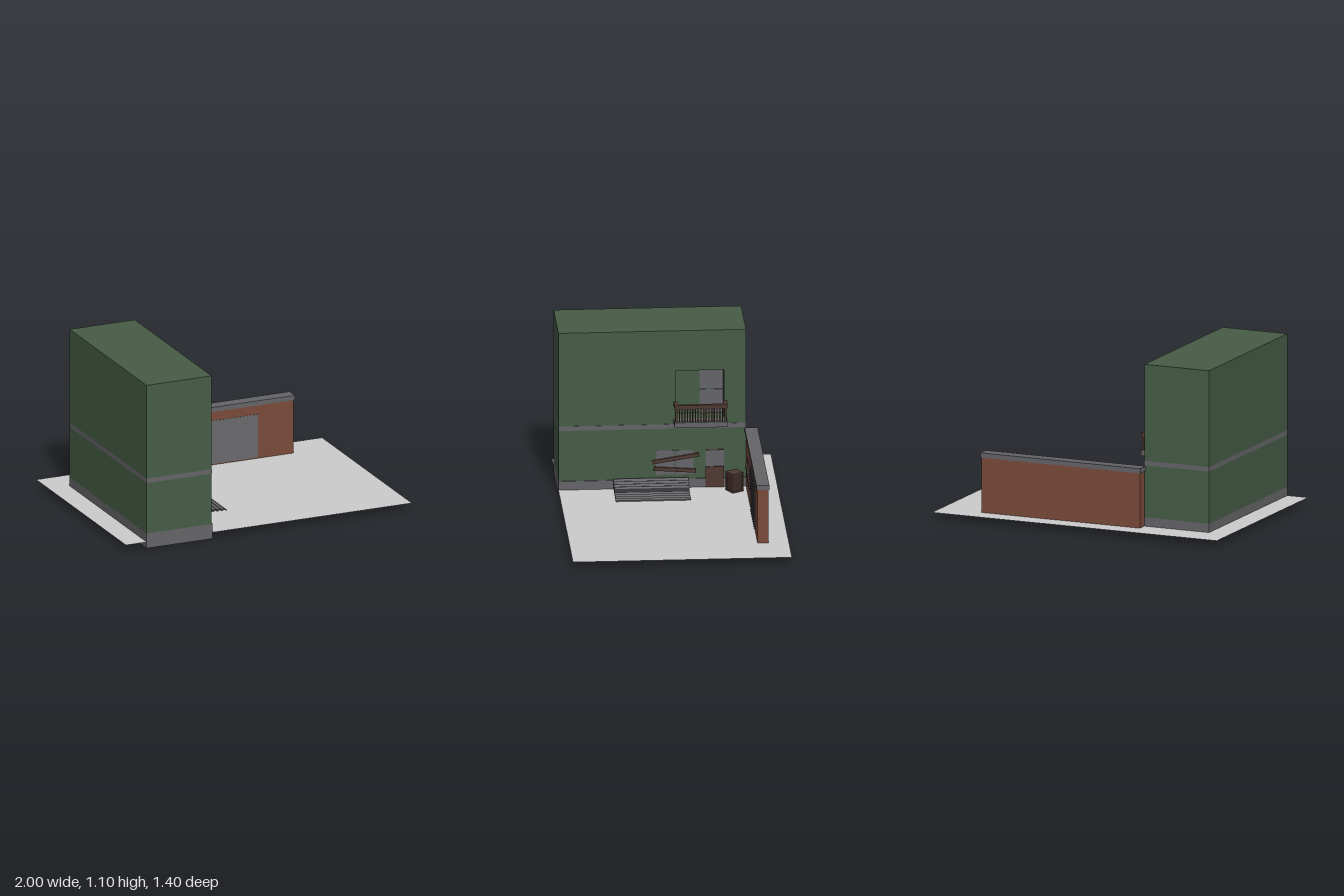
import * as THREE from 'three';

const mat = (name, color, side = THREE.FrontSide) => {
  const m = new THREE.MeshStandardMaterial({ color, side });
  m.name = name;
  return m;
};

export function createModel() {
  const green = mat('greenPlaster', 0x465c46);
  const gray = mat('grayConcrete', 0x656468);
  const brick = mat('redBrick', 0x7a4b3a);
  const wood = mat('brownWood', 0x503932);
  const darkWood = mat('darkWood', 0x3b2b27);
  const paving = mat('lightPaving', 0xcccccc, THREE.DoubleSide);

  const root = new THREE.Group();
  const group = (name, parent = root) => {
    const g = new THREE.Group();
    g.name = name;
    parent.add(g);
    return g;
  };
  // Box given by its limits on each axis
  const box = (name, parent, m, x0, x1, y0, y1, z0, z1) => {
    const mesh = new THREE.Mesh(new THREE.BoxGeometry(x1 - x0, y1 - y0, z1 - z0), m);
    mesh.position.set((x0 + x1) / 2, (y0 + y1) / 2, (z0 + z1) / 2);
    mesh.name = name;
    parent.add(mesh);
    return mesh;
  };

  // Ground sheet
  const ground = new THREE.Mesh(new THREE.PlaneGeometry(2, 1.4).rotateX(-Math.PI / 2), paving);
  ground.position.y = 0.042;
  ground.name = 'ground';
  root.add(ground);

  // House: plinth, lower storey, band, upper storey with a balcony recess
  const house = group('house');
  const L = -0.855, R = -0.4, B = -0.5, F = 0.7, back = -0.51;
  box('plinth', house, gray, L, R + 0.006, 0, 0.1, B, F);
  box('lowerStorey', house, green, L, R, 0.1, 0.44, B, F);
  box('band', house, gray, L, R + 0.002, 0.44, 0.47, B, F);
  box('upperStorey', house, green, L, back, 0.47, 1.1, B, F);
  const rect = (S, a, b, c, d) =>
    new S([[a, c], [b, c], [b, d], [a, d]].map((p) => new THREE.Vector2(...p)));
  const facade = rect(THREE.Shape, -F, -B, 0.47, 1.1);
  facade.holes.push(rect(THREE.Path, 0.05, 0.36, 0.505, 0.83));
  const front = new THREE.Mesh(
    new THREE.ExtrudeGeometry(facade, { depth: R - back, bevelEnabled: false }).rotateY(Math.PI / 2), green);
  front.position.x = back;
  front.name = 'upperFacade';
  house.add(front);
  for (const [y0, y1] of [[0.505, 0.664], [0.671, 0.83]])
    box('balconyDoorPane', house, gray, back, back + 0.006, y0, y1, -0.36, -0.21);

  // Entrance door and boarded ground floor window
  box('doorPanel', house, wood, R, R + 0.012, 0, 0.18, -0.36, -0.24);
  box('doorGlass', house, gray, R, R + 0.004, 0.18, 0.29, -0.358, -0.242);
  box('doorLintel', house, wood, R, R + 0.006, 0.288, 0.293, -0.36, -0.24);
  for (const z of [-0.04, -0.165])
    box('windowPane', house, gray, R, R + 0.003, 0.13, 0.293, z, z + 0.115);
  for (const [zA, yA, zB, yB] of [[0.1, 0.217, -0.2, 0.264], [0.09, 0.174, -0.18, 0.155]]) {
    const len = Math.hypot(zA - zB, yA - yB);
    const plank = box('windowPlank', house, wood, R + 0.003, R + 0.015, 0, 0.024, -len / 2, len / 2);
    plank.position.set(R + 0.009, (yA + yB) / 2, (zA + zB) / 2);
    plank.rotation.x = Math.atan2(yB - yA, zA - zB);
  }

  // Balcony: slab, handrail, corner posts and balusters
  const balcony = group('balcony');
  const outer = -0.32, z0 = -0.377, z1 = -0.038;
  box('slab', balcony, gray, R, outer, 0.47, 0.505, z0, z1);
  box('frontRail', balcony, wood, outer - 0.024, outer, 0.595, 0.621, z0, z1);
  for (const z of [z0, z1 - 0.024]) {
    box('sideRail', balcony, wood, R, outer - 0.024, 0.595, 0.621, z, z + 0.024);
    box('cornerPost', balcony, wood, outer - 0.019, outer - 0.005, 0.505, 0.595, z + 0.005, z + 0.019);
    for (let i = 0; i < 3; i++) {
      const x = R + 0.009 + i * 0.019;
      box('sideBaluster', balcony, wood, x, x + 0.007, 0.505, 0.595, z + 0.008, z + 0.016);
    }
  }
  for (let i = 0; i < 17; i++) {
    const z = z0 + 0.028 + i * 0.0172;
    box('baluster', balcony, wood, outer - 0.016, outer - 0.008, 0.505, 0.595, z, z + 0.008);
  }

  // Yard wall with coping, shutter and boarded window
  const yard = group('yardWall');
  const wf = -0.5;
  box('brickWall', yard, brick, R, 0.712, 0.035, 0.405, -0.568, wf);
  box('coping', yard, gray, -0.408, 0.717, 0.402, 0.433, -0.575, -0.492);
  box('wallWindow', yard, gray, -0.24, -0.02, 0.137, 0.29, wf, wf + 0.003);
  const board = box('wallPlank', yard, wood, -0.14, 0.14, 0, 0.028, wf + 0.003, wf + 0.013);
  board.position.set(-0.122, 0.21, wf + 0.008);
  board.rotation.z = -0.135;
  const slats = 14, step = 0.29 / slats;
  for (let i = 0; i < slats; i++) {
    const slat = box('shutterSlat', yard, gray, 0.08, 0.46, 0.05 + i * step, 0.05 + (i + 1) * step, wf - 0.002, wf + 0.004);
    slat.rotation.x = -0.12;
  }

  // Crate: dark core with a wooden frame on every edge
  const crate = group('crate');
  crate.position.set(-0.314, 0.042, -0.421);
  crate.rotation.y = Math.PI / 6;
  const h = 0.041, H = 0.127, t = 0.008;
  box('crateCore', crate, darkWood, -h + 0.004, h - 0.004, 0, H - 0.004, -h + 0.004, h - 0.004);
  box('crateLid', crate, wood, -h, h, H - t, H, -h, h);
  for (const s of [-1, 1]) {
    for (const q of [-1, 1]) {
      const x = s * (h - t / 2), z = q * (h - t / 2);
      box('crateCorner', crate, wood, x - t / 2, x + t / 2, 0, H - t, z - t / 2, z + t / 2);
    }
    const e = s * (h - t / 2);
    box('crateSill', crate, wood, -h + t, h - t, 0, t, e - t / 2, e + t / 2);
    box('crateSill', crate, wood, e - t / 2, e + t / 2, 0, t, -h + t, h - t);
  }

  // Pile of corrugated sheets, fanned out from the house
  const pile = group('sheetPile');
  const sheet = (xA, yA, xB, yB, ridges) => {
    const top = [], low = [], n = ridges * 2;
    for (let i = 0; i <= n; i++) {
      const k = i / n, x = xA + (xB - xA) * k, y = yA + (yB - yA) * k + (i % 2 ? 0.005 : -0.003);
      top.push(new THREE.Vector2(x, y));
      low.unshift(new THREE.Vector2(x, y - 0.004));
    }
    const mesh = new THREE.Mesh(
      new THREE.ExtrudeGeometry(new THREE.Shape([...low, ...top]), { depth: 0.48, bevelEnabled: false }), gray);
    mesh.position.z = -0.13;
    mesh.name = 'corrugatedSheet';
    pile.add(mesh);
  };
  sheet(-0.39, 0.06, -0.14, 0.051, 8);
  sheet(-0.39, 0.076, -0.14, 0.054, 8);
  sheet(-0.388, 0.09, -0.26, 0.072, 4);
  sheet(-0.388, 0.103, -0.26, 0.08, 4);
  sheet(-0.388, 0.116, -0.26, 0.088, 4);

  return root;
}
